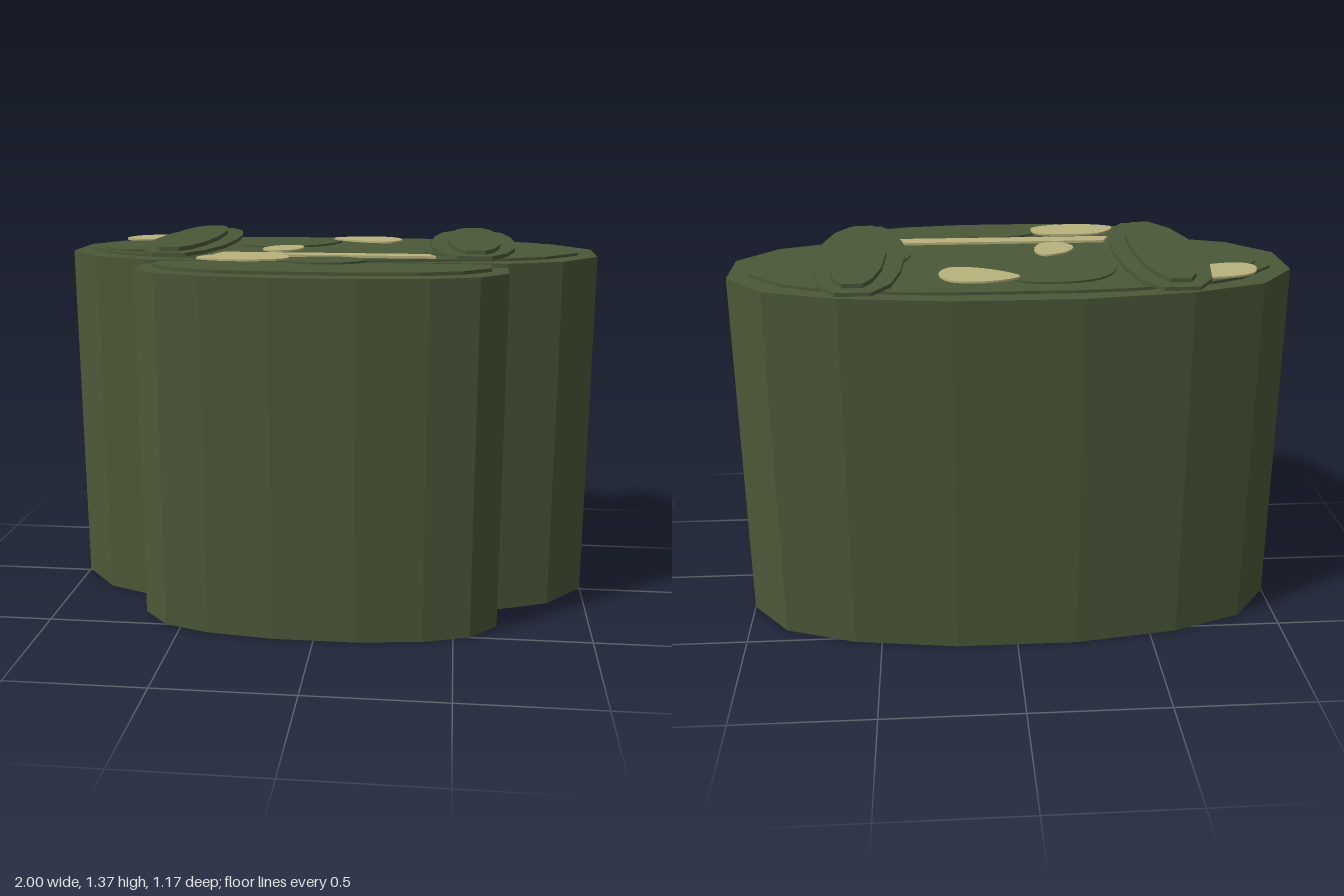
import * as THREE from 'three';

const green = new THREE.MeshStandardMaterial({ color: 0x4b5838 });
green.name = 'olive green';
const tan = new THREE.MeshStandardMaterial({ color: 0xb9b37d });
tan.name = 'khaki tan';

// Horizontal slab from a plan outline of [x, z] points, between two heights
function slab(name, points, y0, y1, material) {
  const pts = points.map(([x, z]) => new THREE.Vector2(x, -z));
  const geo = new THREE.ExtrudeGeometry(new THREE.Shape(pts), { depth: y1 - y0, bevelEnabled: false });
  geo.rotateX(-Math.PI / 2).translate(0, y0, 0);
  const mesh = new THREE.Mesh(geo, material);
  mesh.name = name;
  return mesh;
}

// Completes a half outline (x >= 0, back to front) by mirroring
const mirror = (half) => [...half, ...half.map(([x, z]) => [-x, z]).reverse()];

// Smooth closed outline through a few control points
const blob = (points) => new THREE.CatmullRomCurve3(
  points.map(([x, z]) => new THREE.Vector3(x, 0, z)), true, 'centripetal'
).getPoints(32).slice(0, -1).map((p) => [p.x, p.z]);

export function createModel() {
  const group = new THREE.Group();
  group.name = 'pack';
  const add = (...args) => group.add(slab(...args));

  // Main compartment and its raised lid
  add('mainBody', mirror([[0.22, -0.58], [0.6, -0.525], [0.86, -0.43], [1, -0.25], [1, -0.01], [0.86, 0.16], [0.66, 0.24]]), 0, 1.32, green);
  add('mainLid', mirror([[0.2, -0.51], [0.4, -0.495], [0.68, -0.43], [0.8, -0.37], [0.93, -0.23], [0.93, -0.04], [0.8, 0.1], [0.66, 0.16], [0.4, 0.21], [0.2, 0.24]]), 1.32, 1.33, green);

  // Front pouch and its raised lid
  add('frontPouch', mirror([[0.66, 0.15], [0.66, 0.39], [0.56, 0.5], [0.39, 0.555], [0.15, 0.585]]), 0, 1.305, green);
  add('pouchLid', mirror([[0.6, 0.24], [0.6, 0.35], [0.5, 0.44], [0.35, 0.49], [0.13, 0.51]]), 1.305, 1.317, green);

  // Shoulder straps, each with a raised pad
  for (const [side, sx] of [['left', 1], ['right', -1]]) {
    const outline = mirror([[0.06, -0.59], [0.12, -0.49], [0.15, -0.32], [0.16, -0.12], [0.15, 0.08], [0.115, 0.25], [0.06, 0.35]])
      .map(([x, z]) => [x + sx * 0.54, z]);
    add(side + 'Strap', outline, 1.345, 1.358, green);
    const pad = mirror([[0.035, -0.535], [0.065, -0.47], [0.09, -0.33], [0.1, -0.12], [0.09, 0.1], [0.065, 0.24], [0.035, 0.3]])
      .map(([x, z]) => [x + sx * 0.545, z]);
    add(side + 'StrapPad', pad, 1.358, 1.373, green);
  }

  // Low green camouflage patches
  [
    [[-0.37, -0.26], [-0.29, -0.39], [-0.12, -0.43], [0, -0.39], [0.01, -0.28], [-0.06, -0.16], [-0.2, -0.1], [-0.34, -0.12]],
    [[-0.9, -0.12], [-0.85, -0.24], [-0.72, -0.28], [-0.6, -0.2], [-0.6, 0], [-0.7, 0.08], [-0.83, 0.05]],
    [[-0.14, 0.32], [-0.07, 0.25], [0.06, 0.23], [0.16, 0.29], [0.14, 0.36], [0.03, 0.41], [-0.09, 0.39]],
    [[0.36, 0], [0.4, -0.13], [0.5, -0.15], [0.55, 0], [0.5, 0.1], [0.39, 0.08]],
  ].forEach((p, i) => add('greenPatch' + (i + 1), blob(p), 1.33, 1.337, green));

  // Tan camouflage patches
  [
    [[-0.02, -0.37], [0.1, -0.43], [0.22, -0.41], [0.26, -0.32], [0.22, -0.24], [0.1, -0.26]],
    [[-0.25, 0.04], [-0.21, -0.05], [-0.13, -0.08], [-0.1, -0.02], [-0.13, 0.09], [-0.2, 0.11]],
    [[-0.44, 0.35], [-0.38, 0.25], [-0.25, 0.23], [-0.13, 0.26], [-0.12, 0.35], [-0.23, 0.4], [-0.38, 0.39]],
    [[-0.86, -0.28], [-0.83, -0.38], [-0.73, -0.42], [-0.6, -0.41], [-0.58, -0.3], [-0.68, -0.26], [-0.82, -0.24]],
  ].forEach((p, i) => add('tanPatch' + (i + 1), blob(p), 1.337, 1.344, tan));

  // Tan seam strip between the straps
  add('seamStrip', mirror([[0.38, 0.14], [0.405, 0.21]]), 1.331, 1.34, tan);

  return group;
}
